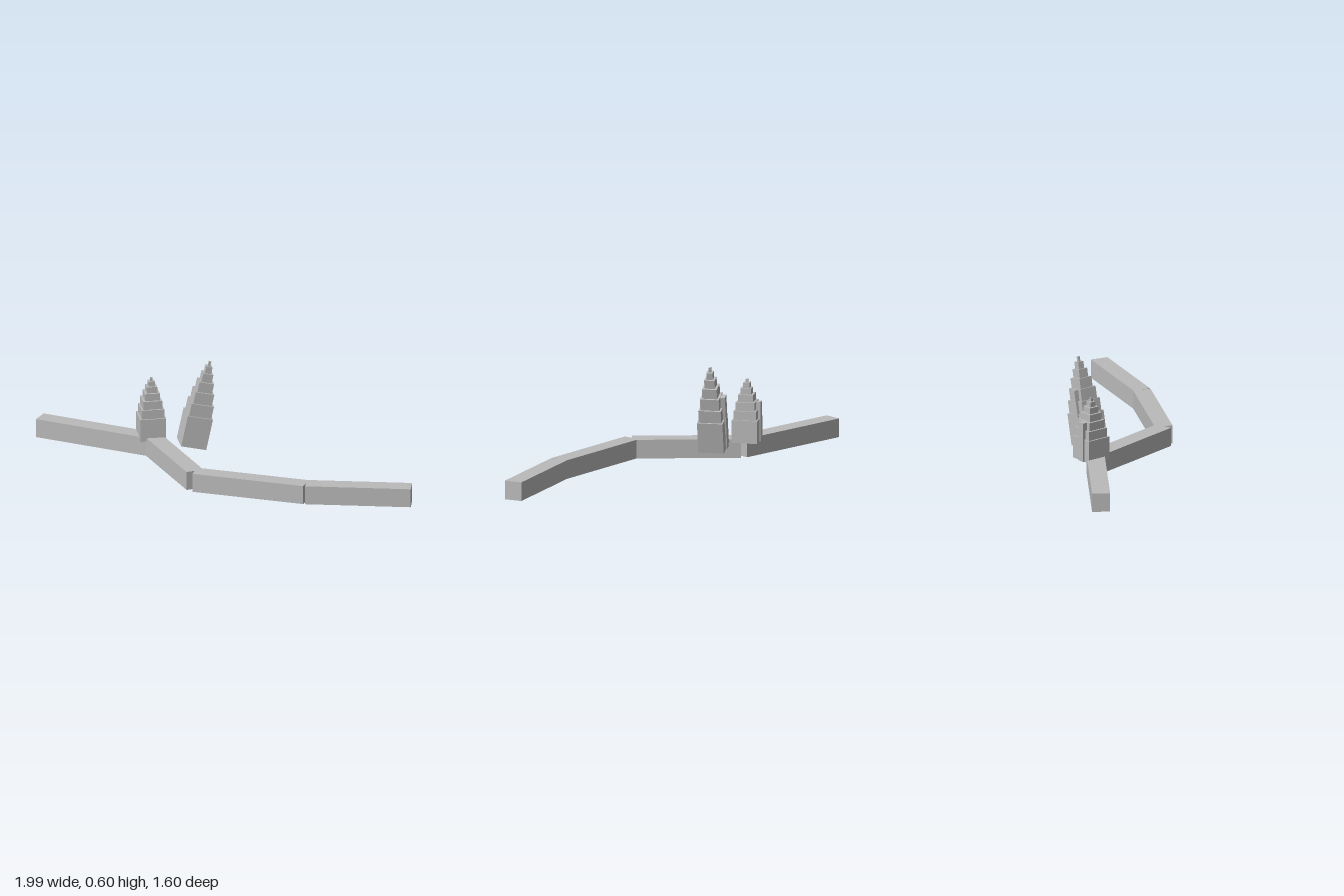
import * as THREE from 'three';

const grey = new THREE.MeshStandardMaterial({ color: 0xbababa });
grey.name = 'stone grey';

function box(name, w, h, d, x, y, z) {
  const mesh = new THREE.Mesh(new THREE.BoxGeometry(w, h, d), grey);
  mesh.name = name;
  mesh.position.set(x, y, z);
  return mesh;
}

// Stepped tower on its own upright axis; stretch scales its height
function tower(name, stretch) {
  const group = new THREE.Group();
  group.name = name;
  const widths = [0.152, 0.134, 0.112, 0.088, 0.062, 0.038, 0.014];
  const tops = [0.136, 0.19, 0.24, 0.283, 0.32, 0.35, 0.371];
  let base = 0;
  widths.forEach((w, i) => {
    const top = tops[i] * stretch;
    group.add(box('towerTier', w, top - base, w, 0, (base + top) / 2, 0));
    base = top;
  });
  // Tall pilaster on the back
  const h = 0.237 * stretch;
  group.add(box('backPilaster', 0.045, h, 0.034, -0.01, h / 2, -0.067));
  return group;
}

export function createModel() {
  const model = new THREE.Group();
  model.name = 'wallWithTowers';

  // Wall segments joining ground points [x, z], square-ended at each bend
  const points = [[-0.965, -0.76], [-0.365, -0.335], [-0.22, 0.285], [0.385, 0.594], [0.985, 0.746]];
  for (let i = 0; i < points.length - 1; i++) {
    const [x0, z0] = points[i], [x1, z1] = points[i + 1];
    const dx = x1 - x0, dz = z1 - z0;
    const wall = box('wallSegment', Math.hypot(dx, dz), 0.112, 0.106, (x0 + x1) / 2, 0.056, (z0 + z1) / 2);
    wall.rotation.y = -Math.atan2(dz, dx);
    model.add(wall);
  }

  // Upright tower
  const upright = tower('uprightTower', 1);
  upright.position.set(-0.37, 0.092, -0.37);
  model.add(upright);

  // Taller leaning tower
  const leaning = tower('leaningTower', 1.4);
  leaning.position.set(-0.157, 0.092, -0.215);
  leaning.rotation.z = -0.212;
  model.add(leaning);

  return model;
}
